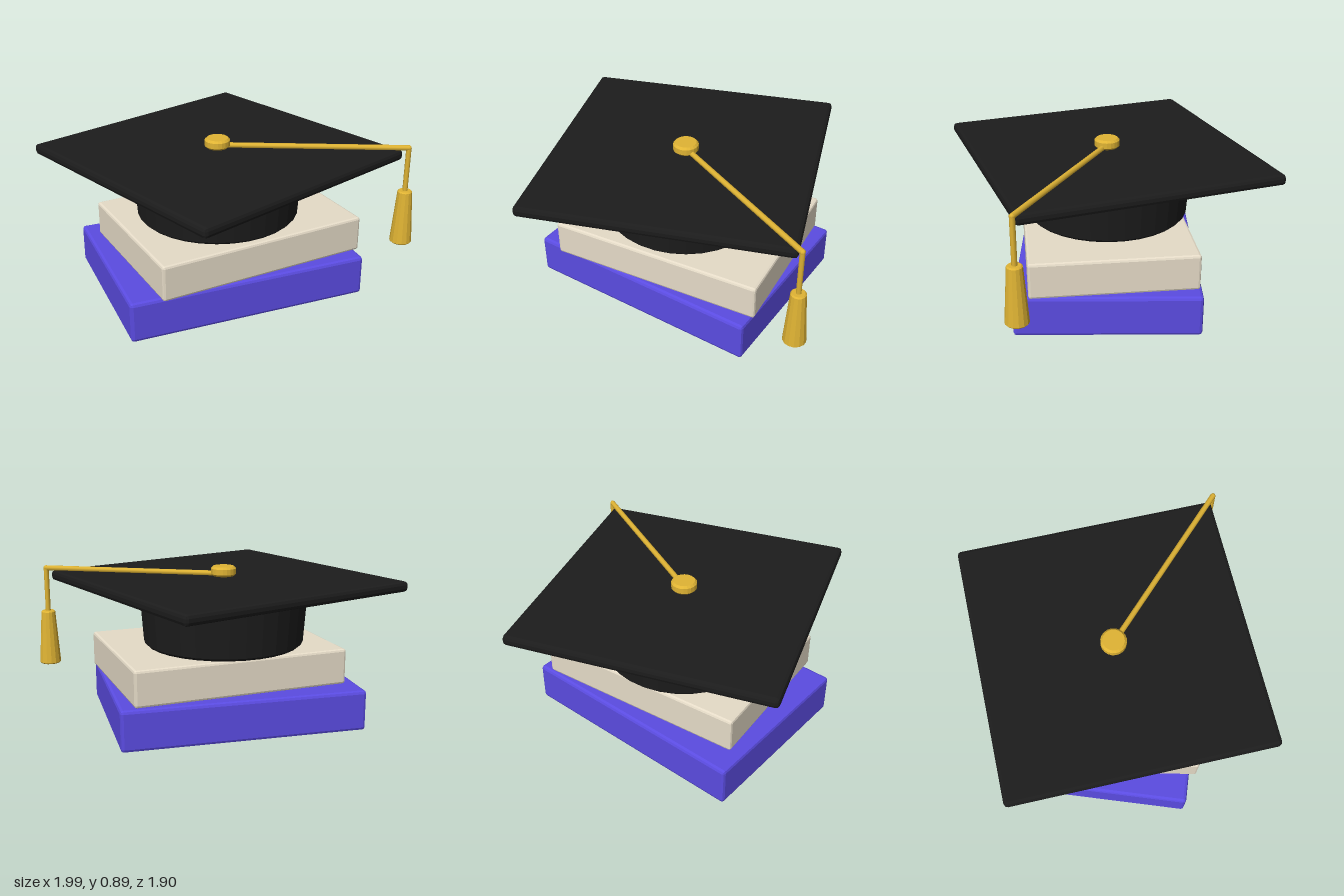
import * as THREE from 'three';
import { RoundedBoxGeometry } from 'three/addons/geometries/RoundedBoxGeometry.js';

const paint = (name, color) => {
  const m = new THREE.MeshStandardMaterial({ color });
  m.name = name;
  return m;
};

// Flat facets
function facet(geometry) {
  const g = geometry.index ? geometry.toNonIndexed() : geometry;
  g.computeVertexNormals();
  return g;
}

// Box with narrow chamfered edges
const chamferBox = (w, h, d, bevel) => facet(new RoundedBoxGeometry(w, h, d, 1, bevel));

// Tapered round block from y0 to y1 with chamfered rims
function chamferDrum(r0, r1, y0, y1, bevel, sides) {
  const profile = [
    [0, y0], [r0 - bevel, y0], [r0, y0 + bevel],
    [r1, y1 - bevel], [r1 - bevel, y1], [0, y1],
  ].map(([r, y]) => new THREE.Vector2(r, y));
  return facet(new THREE.LatheGeometry(profile, sides));
}

// Straight cord between two points
function cord(a, b, radius) {
  const dir = b.clone().sub(a);
  const g = new THREE.CylinderGeometry(radius, radius, dir.length(), 8);
  g.applyQuaternion(new THREE.Quaternion().setFromUnitVectors(
    new THREE.Vector3(0, 1, 0), dir.clone().normalize()));
  const mid = a.clone().add(b).multiplyScalar(0.5);
  return g.translate(mid.x, mid.y, mid.z);
}

export function createModel() {
  const model = new THREE.Group();
  model.name = 'graduationCapOnBooks';
  const purple = paint('purple', 0x5b4ce2);
  const cream = paint('cream', 0xe6dcc8);
  const black = paint('black', 0x1c1c1c);
  const gold = paint('gold', 0xe0b434);

  const add = (name, geometry, material, x = 0, y = 0, z = 0, turn = 0) => {
    const mesh = new THREE.Mesh(geometry, material);
    mesh.name = name;
    mesh.position.set(x, y, z);
    mesh.rotation.y = THREE.MathUtils.degToRad(turn);
    model.add(mesh);
  };
  const cx = -0.047;

  // Stacked books
  add('lowerBook', chamferBox(1.4, 0.235, 1.028, 0.018), purple, cx, 0.1175, 0);
  add('upperBook', chamferBox(1.255, 0.207, 0.93, 0.014), cream, -0.002, 0.342, 0.0275, 6.2);

  // Cap
  add('capCrown', chamferDrum(0.468, 0.49, 0.446, 0.78, 0.015, 32), black, cx);
  add('mortarboard', chamferBox(1.492, 0.06, 1.492, 0.02), black, cx, 0.806, 0, 20);

  // Button, cord and tassel
  const tx = 0.934, tz = 0.457;
  const corner = new THREE.Vector3(tx, 0.848, tz);
  add('button', chamferDrum(0.073, 0.073, 0.836, 0.892, 0.012, 20), gold, cx);
  add('boardCord', cord(new THREE.Vector3(cx, 0.848, 0), corner, 0.016), gold);
  add('cordBend', new THREE.SphereGeometry(0.016, 8, 6), gold, tx, 0.848, tz);
  add('hangingCord', cord(corner, new THREE.Vector3(tx, 0.57, tz), 0.015), gold);
  add('tassel', chamferDrum(0.064, 0.042, 0.26, 0.587, 0.007, 14), gold, tx, 0, tz);

  return model;
}
